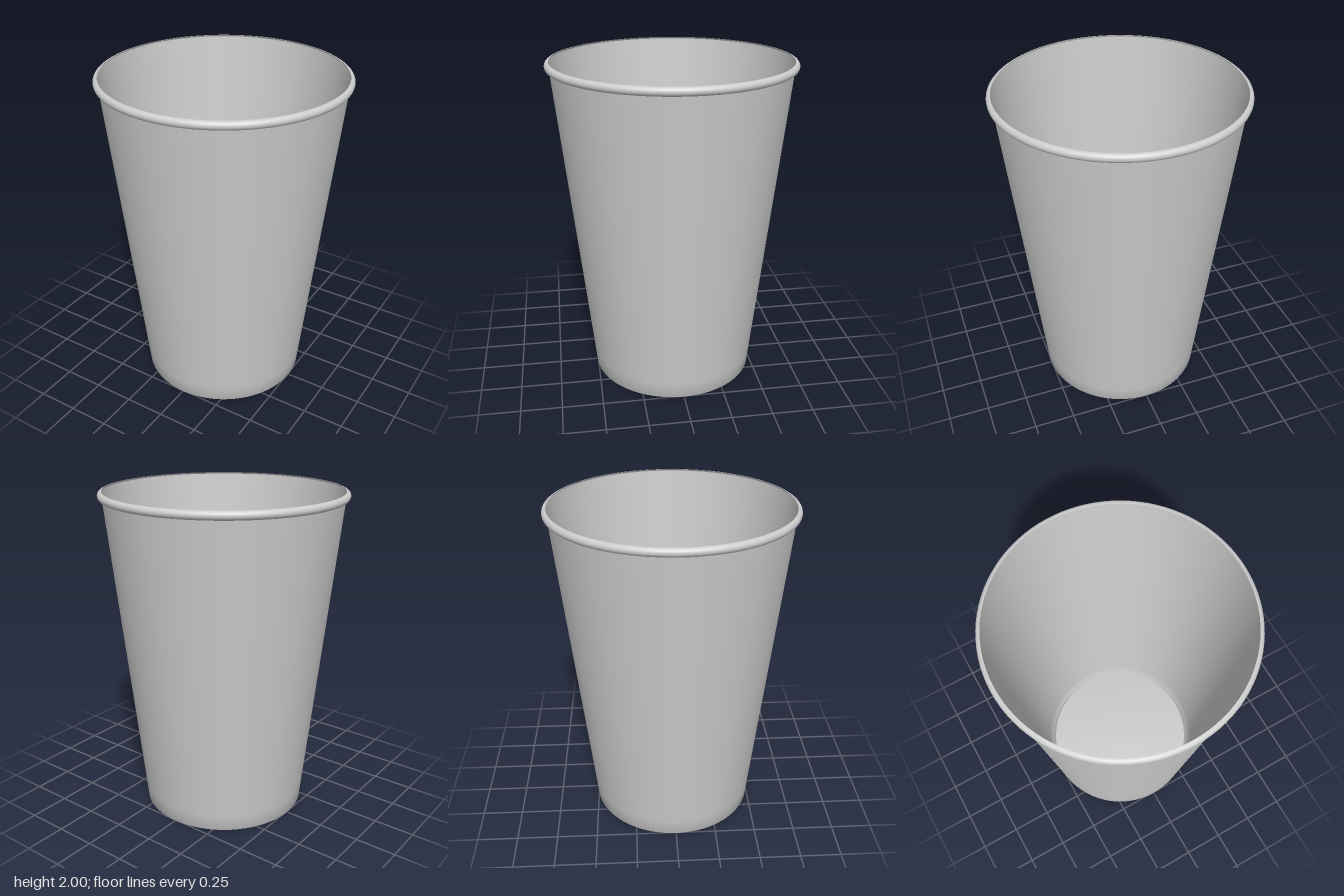
import * as THREE from 'three';

const SEGMENTS = 96;

// Revolve a list of [radius, height] pairs around the y axis
function revolve(name, profile, material) {
  const points = profile.map(([r, y]) => new THREE.Vector2(r, y));
  const mesh = new THREE.Mesh(new THREE.LatheGeometry(points, SEGMENTS), material);
  mesh.name = name;
  return mesh;
}

export function createModel() {
  const group = new THREE.Group();
  group.name = 'cup';

  const paper = new THREE.MeshStandardMaterial({ color: 0xcccccc, side: THREE.DoubleSide });
  paper.name = 'light grey';

  // Thin shell: recessed floor, folded foot and tapering wall
  group.add(revolve('cupBody', [
    [0, 0.06],
    [0.477, 0.06],
    [0.48, 0],
    [0.505, 0],
    [0.515, 0.1],
    [0.713, 1.99],
  ], paper));

  // Lip curled outward around the top edge
  const lip = [];
  for (let i = 0; i <= 12; i++) {
    const a = -Math.PI / 2 + (Math.PI * i) / 12;
    lip.push([0.711 + 0.025 * Math.cos(a), 1.975 + 0.025 * Math.sin(a)]);
  }
  group.add(revolve('rolledRim', lip, paper));

  return group;
}
